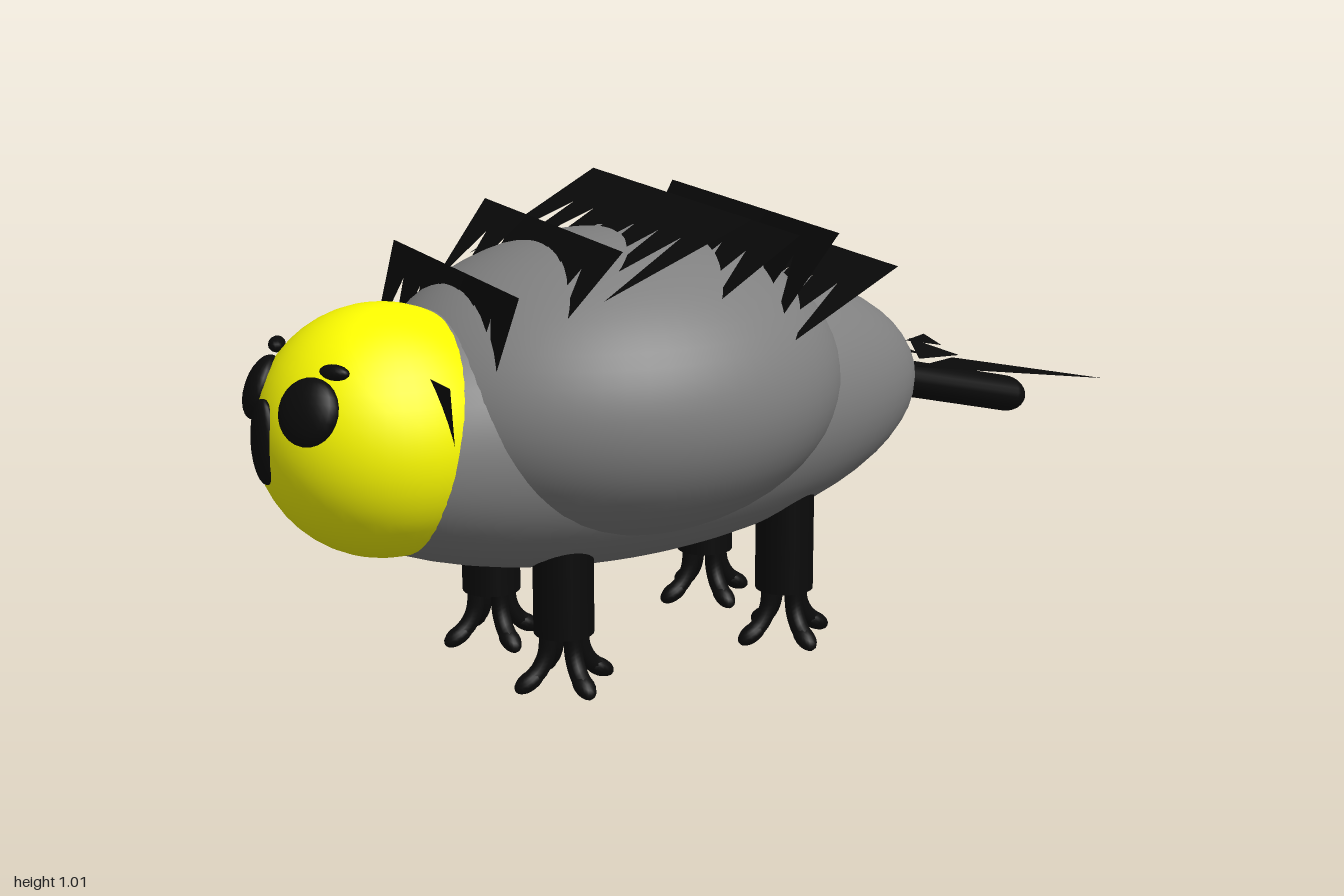
import * as THREE from 'three';

const mat = (color, side = THREE.FrontSide) => new THREE.MeshStandardMaterial({ color, side });
const grey = mat(0x808080);
const yellow = mat(0xffff00);
const black = mat(0x0a0a0a);
const blade = mat(0x0a0a0a, THREE.DoubleSide);

function add(parent, name, geometry, material, position = [0, 0, 0]) {
  const mesh = new THREE.Mesh(geometry, material);
  mesh.name = name;
  mesh.position.set(...position);
  parent.add(mesh);
  return mesh;
}

function ellipsoid(parent, name, material, position, radii, segments = 48) {
  const geometry = new THREE.SphereGeometry(1, segments, segments / 2).scale(...radii);
  return add(parent, name, geometry, material, position);
}

// Flat blades, each three corner points
function triangles(parent, name, corners) {
  const geometry = new THREE.BufferGeometry();
  geometry.setAttribute('position', new THREE.Float32BufferAttribute(corners.flat(), 3));
  geometry.computeVertexNormals();
  return add(parent, name, geometry, blade);
}

// A row of overlapping blades: level upper edge, tips pointing down
function spineRow(parent, name, { tip, back, front, y }) {
  const count = 7;
  const corners = [];
  const [xb, zb] = back;
  const [xf, zf] = front;
  const width = 1.5 / (count + 0.5);
  for (let i = 0; i < count; i++) {
    const a = i / (count + 0.5);
    const b = a + width;
    const at = (t) => [xb + (xf - xb) * t, y, zb + (zf - zb) * t];
    const middle = at((a + b) / 2);
    corners.push(at(a), at(b), [tip[0], tip[1], middle[2]]);
  }
  triangles(parent, name, corners);
}

// Leg with four splayed toes
function leg(parent, name, x, z) {
  const group = new THREE.Group();
  group.name = name;
  group.position.set(x, 0, z);
  add(group, 'shin', new THREE.CylinderGeometry(0.065, 0.065, 0.28, 24), black, [0, 0.26, 0]);
  const path = new THREE.CatmullRomCurve3([
    new THREE.Vector3(0.038, 0.15, 0),
    new THREE.Vector3(0.042, 0.08, 0),
    new THREE.Vector3(0.06, 0.045, 0),
    new THREE.Vector3(0.09, 0.02, 0),
  ]);
  for (let i = 0; i < 4; i++) {
    const toe = new THREE.Group();
    toe.name = 'toe';
    toe.rotation.y = (i * Math.PI) / 2;
    add(toe, 'toeStem', new THREE.TubeGeometry(path, 12, 0.02, 10), black);
    ellipsoid(toe, 'toeTip', black, [0.085, 0.024, 0], [0.038, 0.02, 0.023], 16).rotation.z = -0.5;
    group.add(toe);
  }
  parent.add(group);
}

export function createModel() {
  const model = new THREE.Group();
  model.name = 'animal';

  // Body and the broad hump over it
  ellipsoid(model, 'body', grey, [-0.17, 0.545, 0], [0.78, 0.323, 0.35], 64);
  ellipsoid(model, 'hump', grey, [-0.18, 0.61, 0], [0.53, 0.335, 0.46], 64);

  // Head and face
  const headCentre = [-0.72, 0.577, 0];
  ellipsoid(model, 'head', yellow, headCentre, [0.265, 0.265, 0.268]);
  ellipsoid(model, 'nose', black, [-0.975, 0.585, -0.01], [0.025, 0.09, 0.045], 24);
  for (const s of [1, -1]) {
    const eye = ellipsoid(model, 'eye', black, [-0.932, 0.67, s * 0.12], [0.07, 0.07, 0.035], 24);
    eye.lookAt(-0.932 - 0.21, 0.67 + 0.09, s * 0.24);
    const brow = ellipsoid(model, 'brow', black, [-0.885, 0.75, s * 0.145], [0.018, 0.016, 0.035], 16);
    brow.rotation.y = s * 0.5;
  }

  // Rows of spines from neck to rump
  const rows = [
    { tip: [-0.67, 0.53], back: [-0.7, -0.38], front: [-0.715, 0.31], y: 0.73 },
    { tip: [-0.59, 0.68], back: [-0.5, -0.39], front: [-0.555, 0.3], y: 0.89 },
    { tip: [-0.45, 0.8], back: [-0.28, -0.375], front: [-0.335, 0.33], y: 0.965 },
    { tip: [-0.36, 0.86], back: [0.0, -0.375], front: [-0.055, 0.37], y: 1.01 },
    { tip: [-0.12, 0.82], back: [0.105, -0.375], front: [0.05, 0.39], y: 0.97 },
    { tip: [0.04, 0.76], back: [0.21, -0.37], front: [0.15, 0.39], y: 0.965 },
    { tip: [0.04, 0.73], back: [0.325, -0.31], front: [0.27, 0.435], y: 0.89 },
  ];
  rows.forEach((row, i) => spineRow(model, 'spineRow' + (i + 1), row));

  // Tail: a slightly flattened rod with rounded ends
  const tail = add(model, 'tail', new THREE.CapsuleGeometry(0.05, 0.34, 8, 24), black, [0.782, 0.467, -0.028]);
  tail.scale.set(0.86, 1, 1.12);
  tail.rotation.z = Math.PI / 2 - 0.25;

  // Loose blades above the tail
  triangles(model, 'tailBlades', [
    [0.57, 0.575, -0.13], [0.68, 0.56, 0], [0.755, 0.535, -0.29],
    [0.6, 0.61, 0.03], [0.8, 0.55, -0.09], [0.83, 0.553, -0.2],
    [0.61, 0.615, 0.03], [0.58, 0.585, 0.11], [0.72, 0.57, 0.08],
    [0.57, 0.567, 0.11], [0.87, 0.565, 0.41], [0.7, 0.567, 0.08],
  ]);

  // Legs
  for (const [end, x] of [['head', -0.385], ['tail', 0.18]]) {
    leg(model, end + 'EndLegFront', x, 0.157);
    leg(model, end + 'EndLegBack', x, -0.177);
  }
  return model;
}
